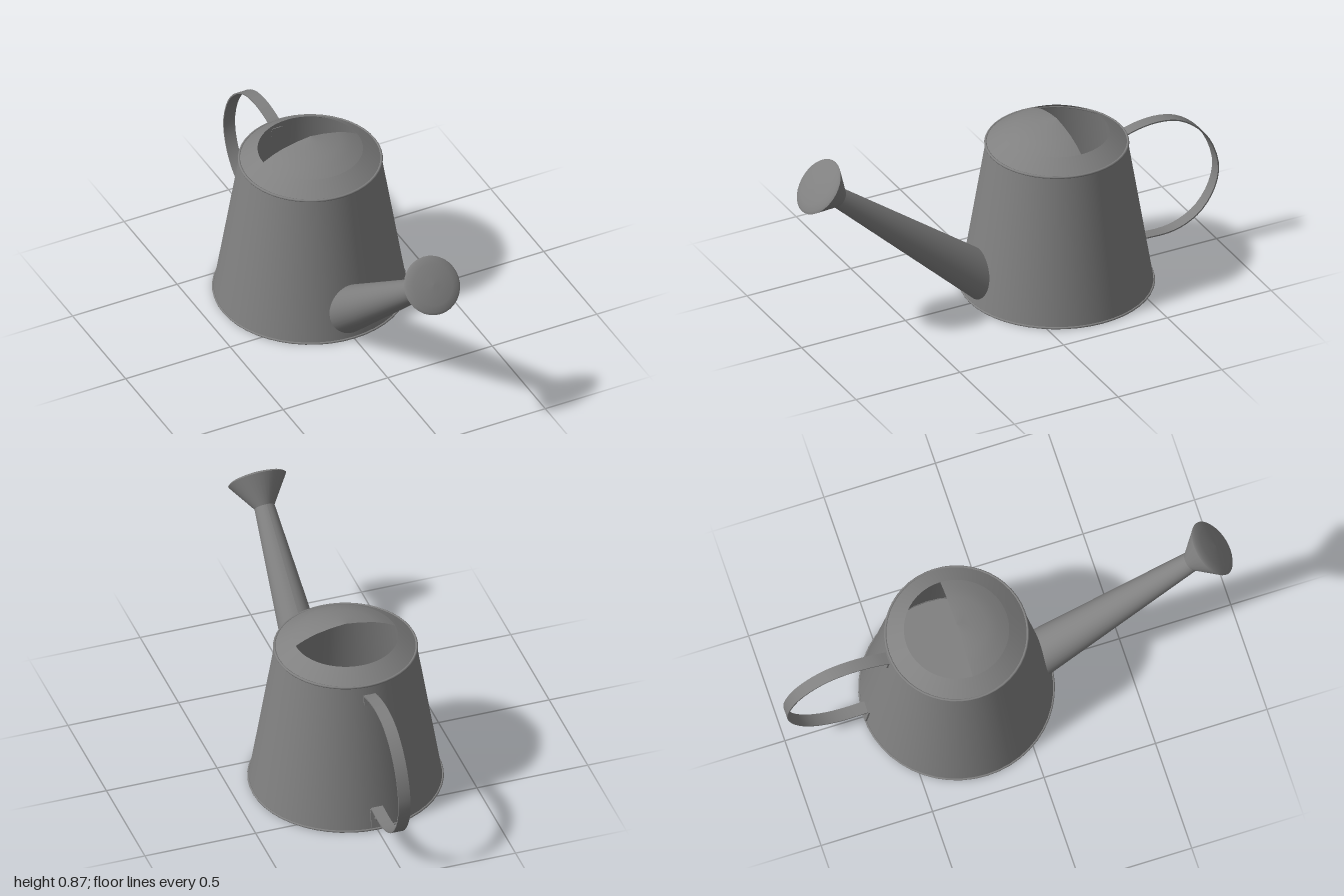
import * as THREE from 'three';
import { toCreasedNormals } from 'three/addons/utils/BufferGeometryUtils.js';

const CZ = -0.23;                       // body axis
const bodyRadius = y => 0.414 - 0.162 * y;
const v2 = (x, y) => new THREE.Vector2(x, y);

export function createModel() {
  const root = new THREE.Group();
  root.name = 'wateringCan';
  const metal = new THREE.MeshStandardMaterial({ color: 0x808080, side: THREE.DoubleSide });
  metal.name = 'grey metal';

  const add = (name, geometry, parent = root, x = 0, y = 0, z = 0) => {
    const mesh = new THREE.Mesh(geometry, metal);
    mesh.name = name;
    mesh.position.set(x, y, z);
    parent.add(mesh);
    return mesh;
  };

  // Tapered body, floor and rolled rims
  const body = new THREE.Group();
  body.name = 'body';
  body.position.z = CZ;
  root.add(body);
  add('wall', new THREE.LatheGeometry([v2(bodyRadius(0.004), 0.004), v2(bodyRadius(0.683), 0.683)], 48), body);
  add('floor', new THREE.CircleGeometry(0.414, 48).rotateX(Math.PI / 2), body, 0, 0.004, 0);
  for (const [name, r, y, t] of [['topRim', 0.304, 0.683, 0.006], ['bottomRim', 0.415, 0.005, 0.005]]) {
    add(name, new THREE.TorusGeometry(r, t, 8, 48).rotateX(Math.PI / 2), body, 0, y, 0);
  }

  // Domed top: a full shoulder ring, then only the front half of the crown
  const dome = [v2(0.304, 0.684), v2(0.265, 0.711), v2(0.225, 0.737), v2(0.18, 0.76),
    v2(0.13, 0.778), v2(0.065, 0.792), v2(0, 0.8)];
  add('shoulder', new THREE.LatheGeometry(dome.slice(0, 3), 48), body);
  add('halfCover', new THREE.LatheGeometry(dome.slice(2), 24, -Math.PI / 2, Math.PI), body);

  // Spout: cone whose lower ring is slid along its sides to meet the body wall
  const base = new THREE.Vector3(0, 0.15, 0.165);
  const tip = new THREE.Vector3(0, 0.697, 0.828);
  const axis = tip.clone().sub(base).normalize();
  const across = new THREE.Vector3(0, axis.z, -axis.y);
  const spoutPoint = (s, a) => base.clone().lerp(tip, s)
    .addScaledVector(across, Math.cos(a) * (0.099 - 0.055 * s))
    .add(new THREE.Vector3(Math.sin(a) * (0.099 - 0.055 * s), 0, 0));
  const meetWall = a => {
    let lo = -0.35, hi = 0.6;
    for (let i = 0; i < 30; i++) {
      const mid = (lo + hi) / 2, p = spoutPoint(mid, a);
      if (Math.hypot(p.x, p.z - CZ) < bodyRadius(p.y)) lo = mid; else hi = mid;
    }
    return lo;
  };
  const spout = new THREE.CylinderGeometry(1, 1, 1, 32, 4, true);
  const pos = spout.attributes.position;
  for (let i = 0; i < pos.count; i++) {
    const a = -Math.atan2(pos.getX(i), pos.getZ(i));
    const p = spoutPoint(THREE.MathUtils.lerp(meetWall(a), 1, pos.getY(i) + 0.5), a);
    pos.setXYZ(i, p.x, p.y, p.z);
  }
  // keep faces outward
  const probe = new THREE.Vector3().fromBufferAttribute(pos, 0);
  spout.computeVertexNormals();
  const n0 = new THREE.Vector3().fromBufferAttribute(spout.attributes.normal, 0);
  if (n0.dot(probe.sub(tip)) < 0) {
    const idx = spout.index;
    for (let i = 0; i < idx.count; i += 3) {
      const t = idx.getX(i);
      idx.setX(i, idx.getX(i + 1));
      idx.setX(i + 1, t);
    }
    spout.computeVertexNormals();
  }
  add('spout', spout);

  // Sprinkler rose: flared cup with a slightly domed face
  const rose = new THREE.Group();
  rose.name = 'rose';
  rose.position.copy(tip);
  rose.rotation.x = Math.atan2(0.768, 0.64);
  root.add(rose);
  add('roseCup', new THREE.LatheGeometry([v2(0.044, -0.008), v2(0.052, 0.004), v2(0.128, 0.116)], 32), rose);
  add('roseFace', new THREE.LatheGeometry([v2(0.128, 0.116), v2(0.118, 0.124), v2(0.09, 0.131),
    v2(0.045, 0.136), v2(0, 0.138)], 32), rose);

  // Handle: flat strap following a curve behind the body
  const curve = new THREE.CatmullRomCurve3([
    [0.538, 0.637], [0.6, 0.656], [0.7, 0.667], [0.8, 0.65], [0.89, 0.592], [0.96, 0.5],
    [0.996, 0.37], [0.972, 0.262], [0.91, 0.175], [0.83, 0.127], [0.75, 0.109], [0.636, 0.111],
  ].map(([x, y]) => new THREE.Vector3(x, y, 0)));
  const outer = [], inner = [];
  for (let i = 0; i <= 32; i++) {
    const p = curve.getPoint(i / 32), t = curve.getTangent(i / 32);
    outer.push(v2(p.x - t.y * 0.003, p.y + t.x * 0.003));
    inner.unshift(v2(p.x + t.y * 0.003, p.y - t.x * 0.003));
  }
  const strap = new THREE.ExtrudeGeometry(new THREE.Shape([...outer, ...inner]), { depth: 0.054, bevelEnabled: false });
  strap.translate(0, 0, -0.027).rotateY(Math.PI / 2);
  add('handle', toCreasedNormals(strap, 0.6));

  // Riveted tabs fixing the strap to the wall
  for (const [name, y, h] of [['upperTab', 0.617, 0.044], ['lowerTab', 0.058, 0.088]]) {
    const tab = new THREE.Group();
    tab.name = name;
    tab.position.set(0, y, CZ - bodyRadius(y) - 0.002);
    tab.rotation.x = 0.16;
    root.add(tab);
    add('plate', new THREE.BoxGeometry(0.054, h, 0.009), tab);
    add('rivet', new THREE.SphereGeometry(0.012, 12, 8).scale(1, 1, 0.6), tab, 0, 0, -0.005);
  }
  return root;
}
